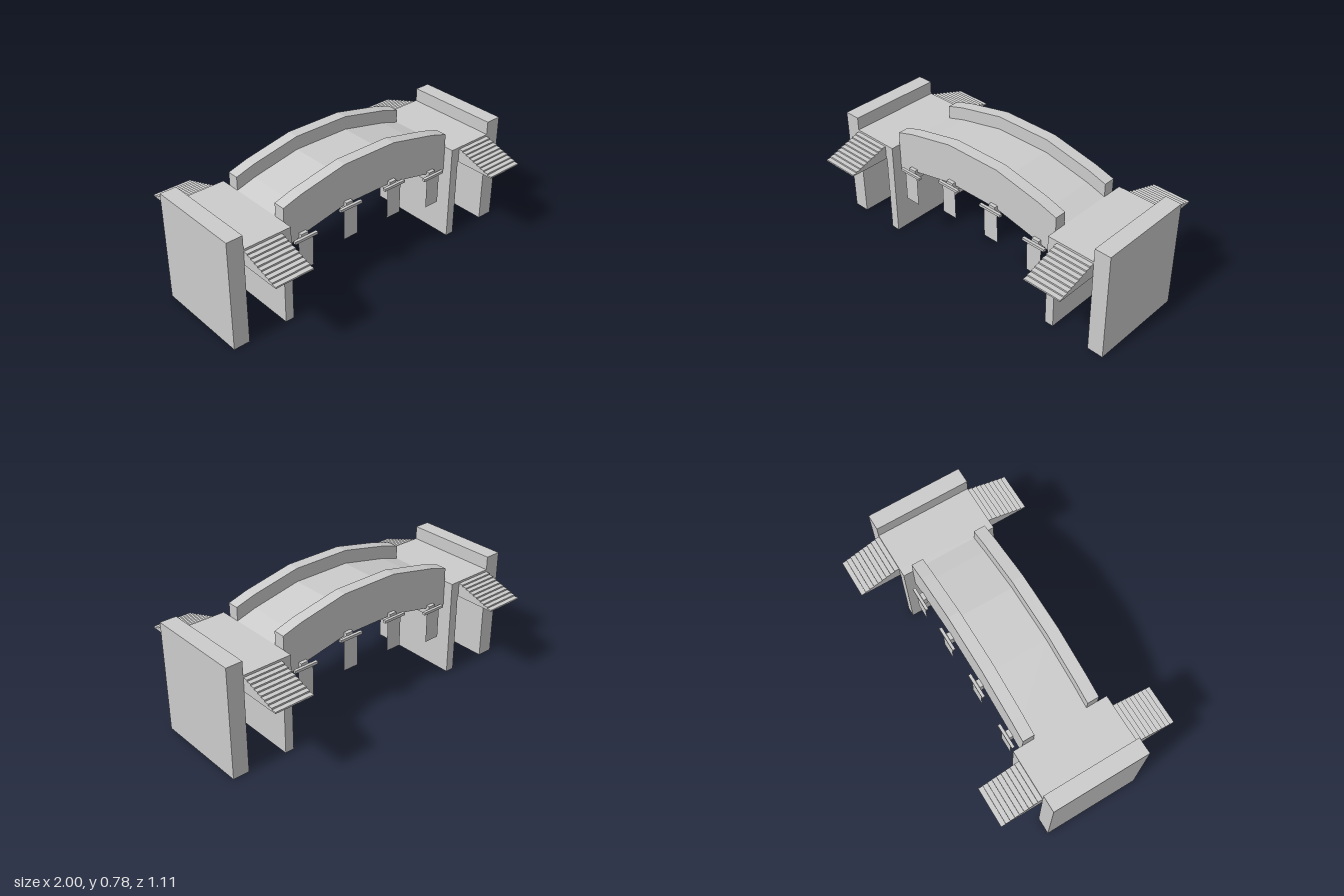
import * as THREE from 'three';

const grey = new THREE.MeshStandardMaterial({ color: 0xcccccc, flatShading: true });
const thin = new THREE.MeshStandardMaterial({ color: 0xcccccc, side: THREE.DoubleSide });

// Box given by its limits on each axis
function box(name, [x0, x1], [y0, y1], [z0, z1]) {
  const mesh = new THREE.Mesh(new THREE.BoxGeometry(x1 - x0, y1 - y0, z1 - z0), grey);
  mesh.position.set((x0 + x1) / 2, (y0 + y1) / 2, (z0 + z1) / 2);
  mesh.name = name;
  return mesh;
}

// Upper line of the arch; other arch edges are this line lowered
const arch = [[-0.6, 0.683], [-0.48, 0.72], [-0.18, 0.783], [0.18, 0.783], [0.48, 0.72], [0.6, 0.683]];

function archSlab(name, topDrop, bottomDrop, z0, z1) {
  const top = arch.map(([x, y]) => new THREE.Vector2(x, y - topDrop));
  const bottom = arch.map(([x, y]) => new THREE.Vector2(x, y - bottomDrop)).reverse();
  const geometry = new THREE.ExtrudeGeometry(new THREE.Shape([...top, ...bottom]), {
    depth: z1 - z0, bevelEnabled: false,
  });
  geometry.translate(0, 0, z0);
  const mesh = new THREE.Mesh(geometry, grey);
  mesh.name = name;
  return mesh;
}

// Stairs descending from the platform toward +z
function createStairs() {
  const stairs = new THREE.Group();
  stairs.name = 'stairs';
  const count = 9, run = 0.0284, rise = 0.0093, base = 0.503;
  for (let i = 0; i < count; i++) {
    const z = 0.3 + i * run;
    stairs.add(box('step', [-0.12, 0.12], [base, base + rise * (count - i)], [z, z + run]));
  }
  return stairs;
}

// End tower on the +x side
function createTower() {
  const tower = new THREE.Group();
  tower.name = 'tower';
  tower.add(
    box('outerWall', [0.9, 1], [0, 0.683], [-0.3, 0.3]),
    box('innerWall', [0.6, 0.655], [0, 0.6], [-0.3, 0.3]),
    box('platform', [0.655, 0.9], [0.503, 0.6], [-0.3, 0.3]),
  );
  for (const turn of [0, Math.PI]) {
    const stairs = createStairs();
    stairs.position.x = 0.78;
    stairs.rotation.y = turn;
    tower.add(stairs);
  }
  return tower;
}

// Cross beam under the deck with a hanging panel at both ends
function createCrossBeam() {
  const group = new THREE.Group();
  group.name = 'crossBeam';
  group.add(box('beam', [-0.024, 0.024], [-0.035, 0.024], [-0.262, 0.262]));
  for (const side of [-1, 1]) {
    const z = side * 0.27;
    group.add(box('hangerBar', [-0.077, 0.077], [-0.008, 0.008], [z - 0.009, z + 0.009]));
    const panel = new THREE.Mesh(new THREE.PlaneGeometry(0.1, 0.2), thin);
    panel.position.set(0, -0.1, z);
    panel.name = 'hangingPanel';
    group.add(panel);
  }
  return group;
}

export function createModel() {
  const model = new THREE.Group();
  model.name = 'archBridge';

  // Arched span
  model.add(archSlab('deck', 0.083, 0.255, -0.168, 0.168));
  model.add(archSlab('frontParapet', 0, 0.255, 0.168, 0.24));
  model.add(archSlab('backParapet', 0, 0.255, -0.24, -0.168));

  // Cross beams and panels
  for (const [x, y] of [[-0.48, 0.463], [-0.163, 0.527], [0.163, 0.527], [0.48, 0.463]]) {
    const beam = createCrossBeam();
    beam.position.set(x, y, 0);
    model.add(beam);
  }

  // Towers at both ends
  for (const turn of [0, Math.PI]) {
    const tower = createTower();
    tower.rotation.y = turn;
    model.add(tower);
  }
  return model;
}
